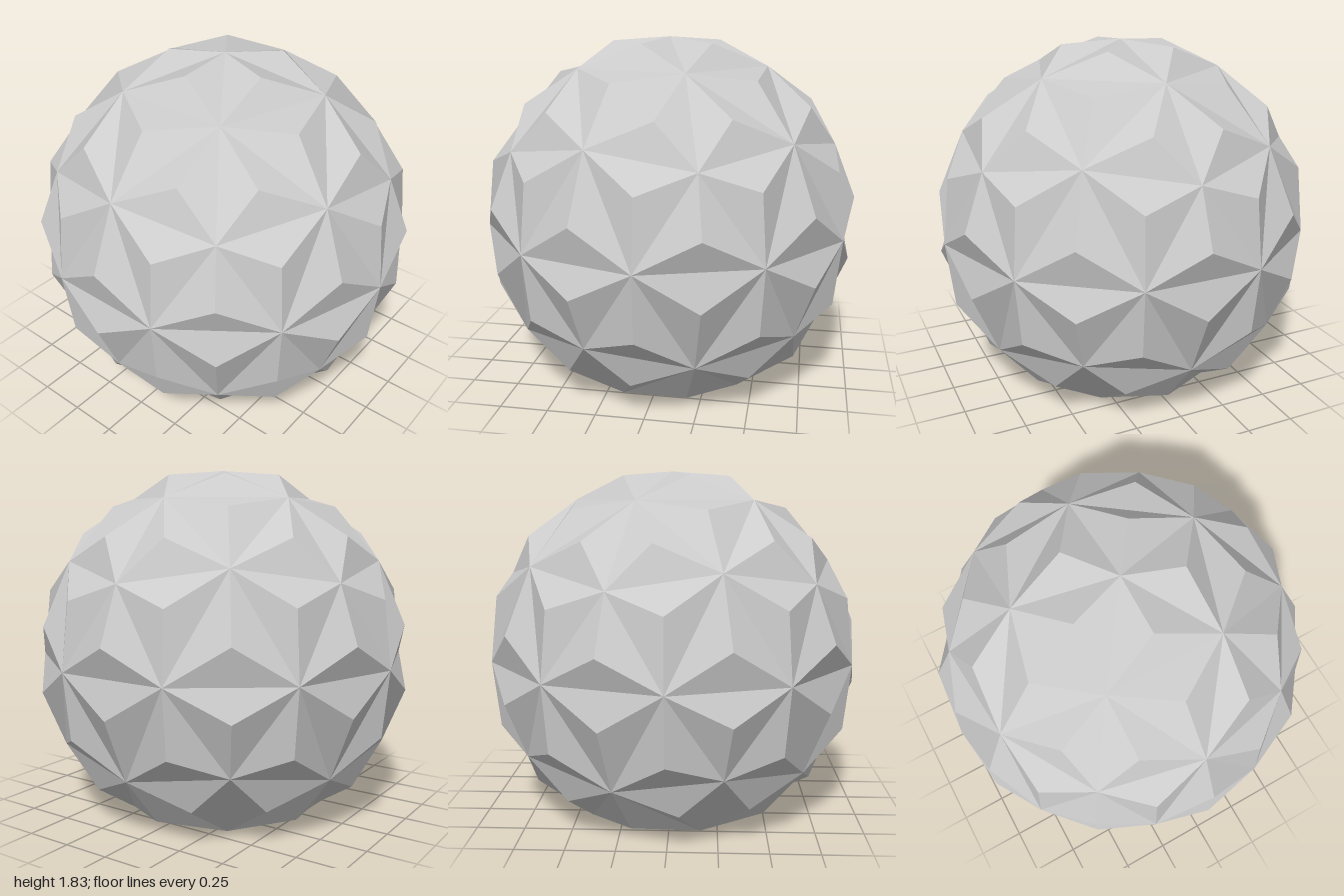
import * as THREE from 'three';

const R = 0.989;                 // radius of the dome's hub points
const PEAK = 0.0787;             // height of the pyramid on each triangle
const LIFT = R * 0.85065;        // puts the open bottom rim on y = 0

// Point on the sphere from latitude and azimuth in radians
function onSphere(lat, az) {
  return new THREE.Vector3(
    Math.cos(lat) * Math.cos(az), Math.sin(lat), -Math.cos(lat) * Math.sin(az)
  ).multiplyScalar(R);
}

// Twenty outward-facing icosahedron faces with a vertex at each pole
function icosahedronFaces() {
  const top = new THREE.Vector3(0, R, 0), bottom = new THREE.Vector3(0, -R, 0);
  const lat = Math.atan(0.5), step = Math.PI * 2 / 5;
  const upper = k => onSphere(lat, k * step);
  const lower = k => onSphere(-lat, (k + 0.5) * step);
  const faces = [];
  for (let k = 0; k < 5; k++) {
    faces.push(
      [top, upper(k), upper(k + 1)],
      [upper(k), lower(k), upper(k + 1)],
      [lower(k), lower(k + 1), upper(k + 1)],
      [bottom, lower(k + 1), lower(k)]
    );
  }
  return faces;
}

const midpoint = (a, b) => a.clone().add(b).setLength(R);

export function createModel() {
  const positions = [];

  // Raise a three-sided pyramid on a triangle
  const addPyramid = (a, b, c) => {
    const normal = new THREE.Triangle(a, b, c).getNormal(new THREE.Vector3());
    const peak = a.clone().add(b).add(c).divideScalar(3).addScaledVector(normal, PEAK);
    for (const [p, q] of [[a, b], [b, c], [c, a]]) {
      for (const v of [p, q, peak]) positions.push(v.x, v.y + LIFT, v.z);
    }
  };

  // Split every face in four; the five triangles at the bottom pole stay open
  for (const [a, b, c] of icosahedronFaces()) {
    const ab = midpoint(a, b), bc = midpoint(b, c), ca = midpoint(c, a);
    if (a.y > -0.99 * R) addPyramid(a, ab, ca);
    addPyramid(ab, b, bc);
    addPyramid(ca, bc, c);
    addPyramid(ab, bc, ca);
  }

  const geometry = new THREE.BufferGeometry();
  geometry.setAttribute('position', new THREE.Float32BufferAttribute(positions, 3));
  geometry.computeVertexNormals();

  const shell = new THREE.Mesh(geometry, new THREE.MeshStandardMaterial({
    color: 0xcccccc, flatShading: true, side: THREE.DoubleSide
  }));
  shell.name = 'facetedShell';

  const model = new THREE.Group();
  model.name = 'geodesicDome';
  model.add(shell);
  return model;
}
